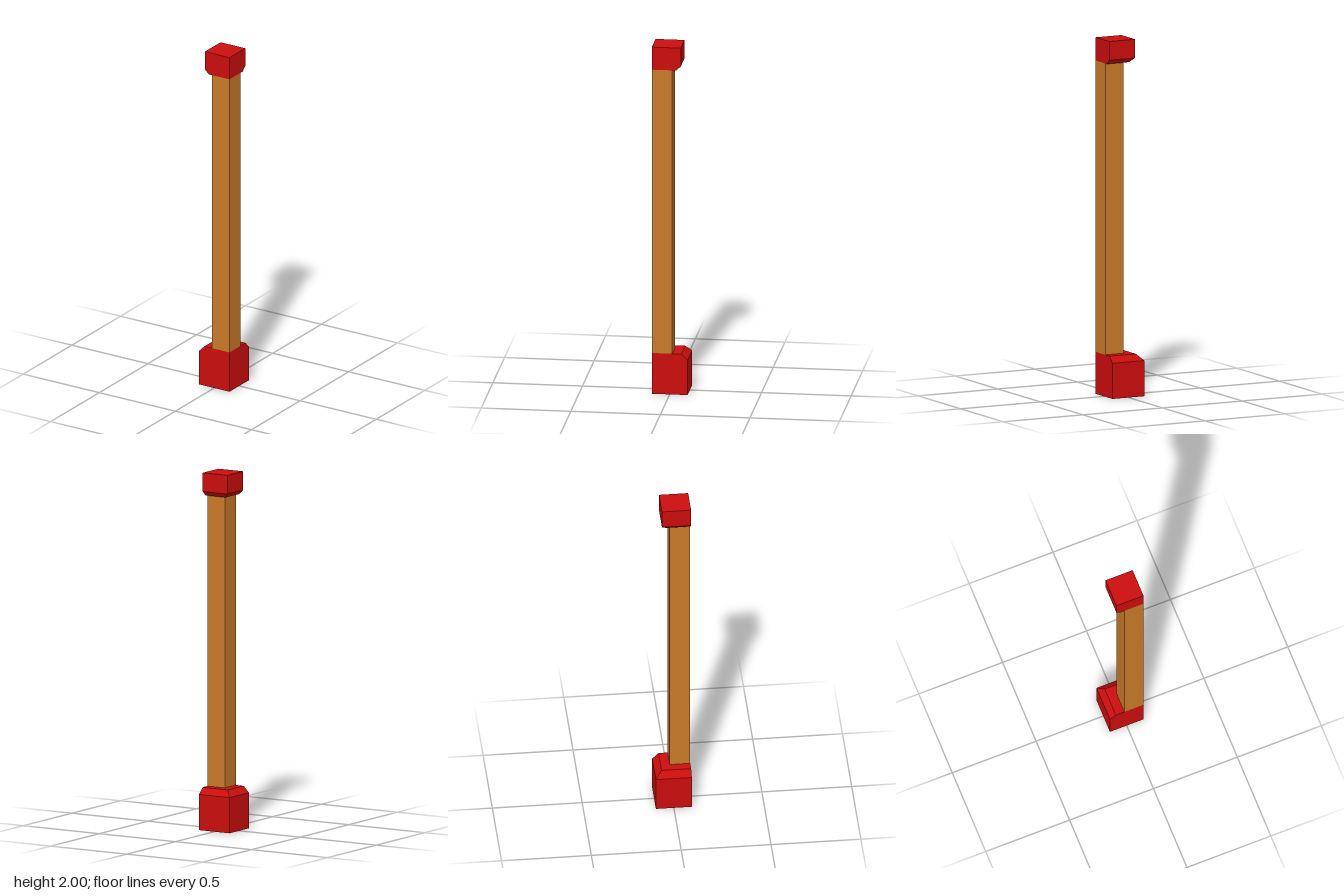
import * as THREE from 'three';

const EDGE = 0.1; // the outer corner where all parts are flush (+x, +z)

// Stacked square sections [y, inner], each spanning inner..EDGE in x and z.
function cornerBlock(name, color, sections) {
  const n = sections.length - 1;
  const geometry = new THREE.BoxGeometry(1, n, 1, 1, n, 1);
  const p = geometry.attributes.position;
  for (let i = 0; i < p.count; i++) {
    const [y, inner] = sections[Math.round(p.getY(i) + n / 2)];
    p.setXYZ(i, p.getX(i) > 0 ? EDGE : inner, y, p.getZ(i) > 0 ? EDGE : inner);
  }
  geometry.computeVertexNormals();
  const material = new THREE.MeshStandardMaterial({ color, flatShading: true });
  const mesh = new THREE.Mesh(geometry, material);
  mesh.name = name;
  return mesh;
}

export function createModel() {
  const group = new THREE.Group();
  group.name = 'cornerPost';
  const red = 0xcc0d0d, wood = 0xc87a2a;

  // Base with its two inner top edges chamfered
  group.add(cornerBlock('base', red, [[0, -0.1], [0.2, -0.1], [0.235, -0.065]]));
  // Square shaft
  group.add(cornerBlock('shaft', wood, [[0.235, -0.014], [1.87, -0.014]]));
  // Cap with its two inner bottom edges chamfered
  group.add(cornerBlock('cap', red, [[1.87, -0.036], [1.895, -0.062], [2, -0.062]]));
  return group;
}
